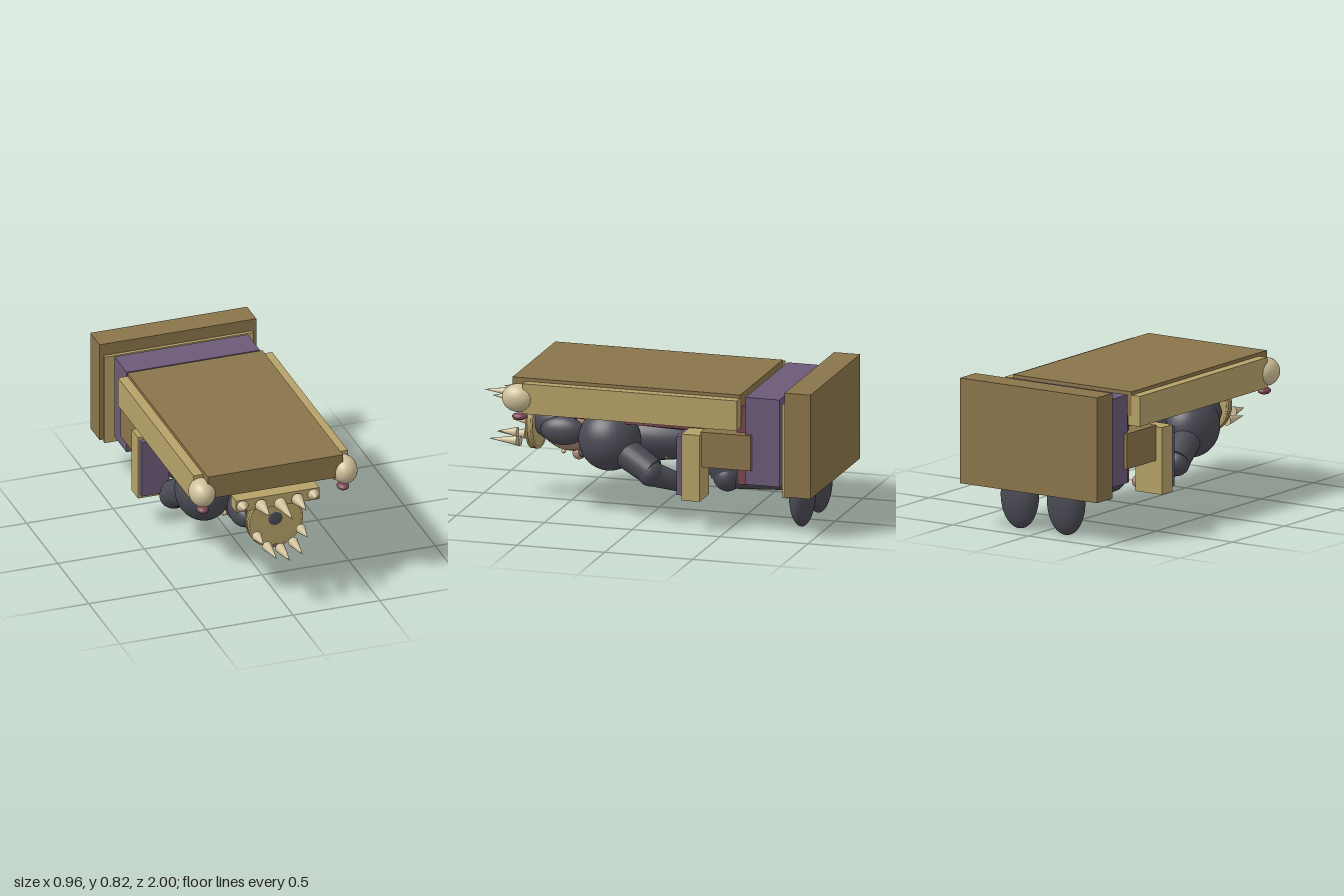
import * as THREE from 'three';

export function createModel() {
  const model = new THREE.Group();
  model.name = 'reclinedThroneFigure';
  const mat = (name, color) => {
    const m = new THREE.MeshStandardMaterial({ color });
    m.name = name;
    return m;
  };
  const brown = mat('darkBronze', 0x8a744a);
  const gold = mat('gold', 0xb5a168);
  const purple = mat('purple', 0x6b5a78);
  const crimson = mat('crimson', 0x7a4650);
  const dark = mat('charcoal', 0x4a4a54);
  const bone = mat('bone', 0xcfc09a);
  const skin = mat('skin', 0xb08c76);

  const add = (name, geometry, material) => {
    const m = new THREE.Mesh(geometry, material);
    m.name = name;
    model.add(m);
    return m;
  };
  // Box given by its limits on each axis
  const box = (name, material, x0, x1, y0, y1, z0, z1) =>
    add(name, new THREE.BoxGeometry(x1 - x0, y1 - y0, z1 - z0), material)
      .position.set((x0 + x1) / 2, (y0 + y1) / 2, (z0 + z1) / 2);
  const ball = (name, material, p, r, seg = 28) => {
    const m = add(name, new THREE.SphereGeometry(1, seg, Math.round(seg * 0.7)), material);
    m.position.set(...p);
    m.scale.set(...r);
    return m;
  };
  // Tapered limb between two points
  const limb = (name, material, a, b, ra, rb, seg = 24) => {
    const A = new THREE.Vector3(...a), B = new THREE.Vector3(...b);
    const d = B.clone().sub(A);
    const m = add(name, new THREE.CylinderGeometry(rb, ra, d.length(), seg), material);
    m.position.copy(A).addScaledVector(d, 0.5);
    m.quaternion.setFromUnitVectors(new THREE.Vector3(0, 1, 0), d.normalize());
    return m;
  };
  const spike = (x, y, z0, z1, r) => {
    const g = new THREE.ConeGeometry(r, z1 - z0, 16);
    g.rotateX(Math.PI / 2);
    add('spike', g, bone).position.set(x, y, (z0 + z1) / 2);
  };

  // Throne: plinth, seat and back
  box('plinth', brown, -0.452, 0.452, 0.24, 0.825, -1, -0.852);
  box('plinthTrim', gold, -0.43, 0.43, 0.228, 0.755, -0.86, -0.832);
  box('seatBlock', purple, -0.385, 0.385, 0.275, 0.765, -0.803, -0.608);
  box('seatCushion', crimson, -0.355, 0.355, 0.265, 0.705, -0.612, -0.55);
  box('throneBack', brown, -0.39, 0.39, 0.642, 0.776, -0.58, 0.715);
  box('backPanel', purple, -0.34, 0.34, 0.592, 0.65, -0.56, 0.62);
  box('crestBar', gold, -0.24, 0.24, 0.55, 0.62, 0.67, 0.752);

  // Crest spikes, tallest in the middle
  spike(0, 0.585, 0.79, 1, 0.034);
  for (const s of [-1, 1]) {
    spike(s * 0.105, 0.585, 0.775, 0.92, 0.034);
    spike(s * 0.205, 0.585, 0.757, 0.8, 0.034);
  }

  for (const s of [-1, 1]) {
    const side = (name, material, x0, x1, ...rest) =>
      box(name, material, Math.min(s * x0, s * x1), Math.max(s * x0, s * x1), ...rest);
    // Throne sides
    side('backRail', gold, 0.365, 0.445, 0.588, 0.757, -0.578, 0.64);
    side('armPost', gold, 0.27, 0.442, 0.172, 0.545, -0.365, -0.262);
    side('armPanel', purple, 0.275, 0.432, 0.198, 0.528, -0.264, -0.23);
    side('armRest', brown, 0.29, 0.405, 0.358, 0.555, -0.645, -0.36);
    ball('finial', bone, [s * 0.41, 0.667, 0.675], [0.071, 0.078, 0.092]);
    ball('finialGem', crimson, [s * 0.405, 0.562, 0.67], [0.033, 0.02, 0.042]);

    // Arms
    ball('shoulder', dark, [s * 0.237, 0.427, 0.21], [0.154, 0.172, 0.172], 36);
    limb('upperArm', dark, [s * 0.26, 0.4, 0.16], [s * 0.318, 0.285, -0.055], 0.088, 0.076);
    ball('elbow', dark, [s * 0.318, 0.28, -0.045], [0.075, 0.075, 0.07]);
    limb('forearm', dark, [s * 0.31, 0.275, -0.04], [s * 0.21, 0.2, -0.21], 0.07, 0.046);
    ball('hand', skin, [s * 0.2, 0.19, -0.215], [0.05, 0.04, 0.045]);

    // Legs
    limb('thigh', dark, [s * 0.12, 0.44, -0.36], [s * 0.14, 0.26, -0.43], 0.115, 0.09);
    ball('knee', dark, [s * 0.145, 0.25, -0.435], [0.095, 0.085, 0.08]);
    limb('shin', dark, [s * 0.145, 0.24, -0.44], [s * 0.152, 0.24, -0.84], 0.06, 0.038);
    ball('boot', dark, [s * 0.153, 0.185, -0.86], [0.118, 0.183, 0.068]);

    // Cape clasps and studs
    ball('capeClasp', bone, [s * 0.255, 0.57, 0.38], [0.03, 0.011, 0.03], 14);
    for (let i = 0; i < 6; i++)
      ball('capeStud', bone, [s * 0.23, 0.575, 0.3 - i * 0.13], [0.012, 0.014, 0.018], 10);

    // Side hair, brow and moustache
    ball('sideHair', dark, [s * 0.13, 0.425, 0.51], [0.06, 0.08, 0.125]);
    ball('eye', bone, [s * 0.05, 0.288, 0.53], [0.018, 0.01, 0.014], 12);
    ball('pupil', dark, [s * 0.05, 0.279, 0.53], [0.008, 0.004, 0.008], 10);
    const m = ball('moustache', dark, [s * 0.05, 0.29, 0.42], [0.055, 0.026, 0.026], 16);
    m.rotation.y = s * 0.3;
  }

  // Torso, hips and cape
  ball('torso', dark, [0, 0.42, 0.05], [0.2, 0.145, 0.4], 36);
  ball('hips', dark, [0, 0.44, -0.35], [0.22, 0.125, 0.2]);
  const cape = limb('cape', crimson, [0, 0.53, 0.43], [0, 0.53, -0.55], 0.205, 0.29, 28);
  cape.scale.z = 0.18;
  box('capeLining', crimson, -0.3, 0.3, 0.535, 0.6, -0.55, 0.3);

  // Head, hair and beard
  ball('face', skin, [0, 0.42, 0.5], [0.135, 0.135, 0.165]);
  ball('hair', dark, [0, 0.455, 0.55], [0.15, 0.13, 0.172]);
  ball('nose', skin, [0, 0.268, 0.46], [0.026, 0.034, 0.035], 16);
  ball('beard', dark, [0, 0.345, 0.37], [0.11, 0.07, 0.08]);

  // Crown with its spikes
  const disc = new THREE.CylinderGeometry(0.156, 0.156, 0.04, 40);
  disc.rotateX(Math.PI / 2);
  add('crownDisc', disc, gold).position.set(0, 0.442, 0.697);
  for (const z of [0.68, 0.712])
    add('crownRim', new THREE.TorusGeometry(0.154, 0.007, 8, 40), gold).position.set(0, 0.442, z);
  ball('crownHair', dark, [0, 0.455, 0.715], [0.045, 0.042, 0.006], 12);
  ball('crownGem', crimson, [0, 0.291, 0.7], [0.03, 0.014, 0.022], 16);
  spike(0, 0.31, 0.79, 0.955, 0.029);
  for (const s of [-1, 1]) {
    spike(s * 0.075, 0.333, 0.785, 0.95, 0.028);
    spike(s * 0.127, 0.395, 0.768, 0.88, 0.028);
  }

  // Chest plate and pendant
  box('chestPlate', dark, -0.11, 0.11, 0.27, 0.295, 0.1, 0.3);
  limb('pendantWing', bone, [-0.13, 0.265, 0.22], [0.13, 0.265, 0.22], 0.014, 0.014, 12);
  box('pendantBar', gold, -0.05, 0.05, 0.226, 0.275, 0.19, 0.22);
  limb('pendantStem', gold, [0, 0.262, 0.12], [0, 0.262, 0.31], 0.013, 0.013, 12);
  ball('pendantGem', crimson, [0, 0.237, 0.21], [0.022, 0.016, 0.025], 14);
  for (let i = 0; i < 4; i++)
    for (const s of [-1, 1])
      ball('beltStud', bone, [s * (0.04 + i * 0.03), 0.295 + i * 0.01, -0.08], [0.01, 0.01, 0.01], 8);

  return model;
}
